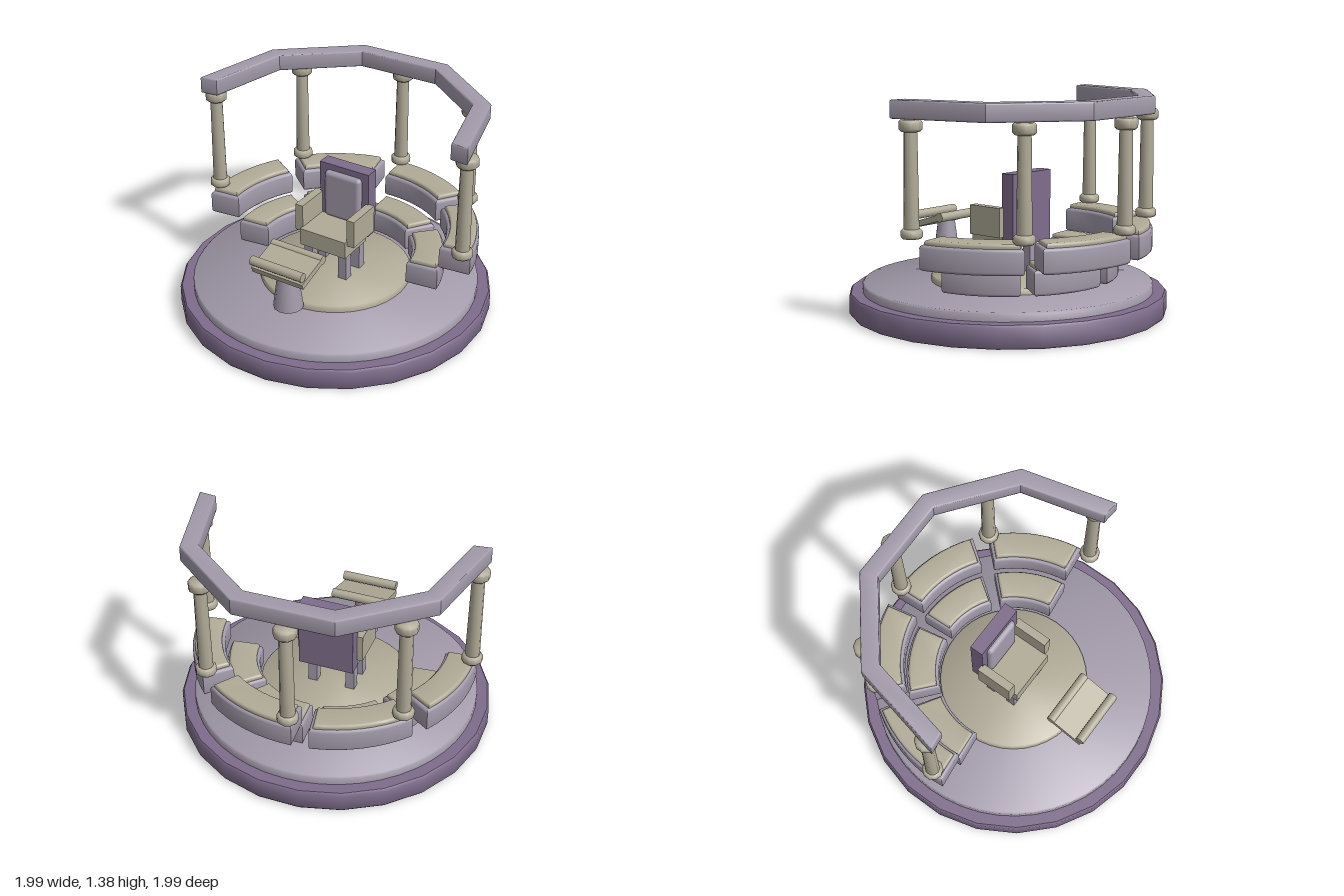
import * as THREE from 'three';
import { toCreasedNormals } from 'three/addons/utils/BufferGeometryUtils.js';
import { RoundedBoxGeometry } from 'three/addons/geometries/RoundedBoxGeometry.js';

const mat = (name, color) => {
  const m = new THREE.MeshStandardMaterial({ color });
  m.name = name;
  return m;
};
const rad = THREE.MathUtils.degToRad;
// point on the floor plan; angle in degrees from +x towards the back
const polar = (r, deg) => new THREE.Vector2(r * Math.cos(rad(deg)), r * Math.sin(rad(deg)));

// plan shape of a curved band between two radii and two angles
function bandShape(r0, r1, a0, a1, steps) {
  const pts = [];
  for (let i = 0; i <= steps; i++) pts.push(polar(r1, a0 + (a1 - a0) * i / steps));
  for (let i = steps; i >= 0; i--) pts.push(polar(r0, a0 + (a1 - a0) * i / steps));
  return new THREE.Shape(pts);
}

// plan shape raised from y0 to y1 with rounded rims
function raise(shape, y0, y1, bevel, crease) {
  const geo = new THREE.ExtrudeGeometry(shape, {
    depth: y1 - y0 - 2 * bevel, bevelEnabled: true, bevelThickness: bevel,
    bevelSize: bevel, bevelOffset: -bevel, bevelSegments: 3,
  });
  geo.rotateX(-Math.PI / 2).translate(0, y0 + bevel, 0);
  return toCreasedNormals(geo, crease);
}

// turned part from a profile of [radius, height] pairs
function turned(profile, sides, crease = 0.9) {
  const pts = profile.map(([r, y]) => new THREE.Vector2(r, y));
  return toCreasedNormals(new THREE.LatheGeometry(pts, sides), crease);
}

export function createModel() {
  const model = new THREE.Group();
  const lilac = mat('lilacGrey', 0xa39bab);
  const purple = mat('dustyPurple', 0x7f6d8c);
  const beige = mat('warmBeige', 0xb1ab98);

  const add = (parent, name, geo, material, x = 0, y = 0, z = 0) => {
    const mesh = new THREE.Mesh(geo, material);
    mesh.name = name;
    mesh.position.set(x, y, z);
    parent.add(mesh);
    return mesh;
  };
  const group = (name) => {
    const g = new THREE.Group();
    g.name = name;
    model.add(g);
    return g;
  };
  const box = (w, h, d) => new THREE.BoxGeometry(w, h, d);

  // stepped round platform
  const base = turned([[0, 0], [0.995, 0], [1.006, 0.015], [1.006, 0.125], [0.995, 0.14], [0, 0.14]], 24);
  add(model, 'base', base.rotateY(rad(7.5)), purple);
  add(model, 'floorDisc', turned([[0, 0.13], [0.92, 0.13], [0.92, 0.185], [0.91, 0.195], [0, 0.195]], 48), lilac);
  add(model, 'centreDisc', turned([[0, 0.19], [0.487, 0.19], [0.487, 0.225], [0.477, 0.235], [0, 0.235]], 40), beige);

  // two tiers of curved benches, four sections each
  const benches = group('benches');
  const tiers = [
    { name: 'lower', r0: 0.49, r1: 0.70, y: 0.23 },
    { name: 'upper', r0: 0.705, r1: 0.91, y: 0.40 },
  ];
  for (const { name, r0, r1, y } of tiers) {
    for (let i = 0; i < 4; i++) {
      const a = 7 + i * 46.67;
      add(benches, `${name}Bench${i + 1}`,
        raise(bandShape(r0, r1, a, a + 40, 8), y, y + 0.155, 0.02, 0.8), lilac);
      add(benches, `${name}Cushion${i + 1}`,
        raise(bandShape(r0 + 0.02, r1 - 0.015, a + 1.5, a + 38.5, 8), y + 0.14, y + 0.182, 0.015, 0.8), beige);
    }
  }

  // columns with rounded feet and capitals
  const columns = group('columns');
  const column = turned([
    [0, 0.58], [0.055, 0.58], [0.066, 0.592], [0.066, 0.622], [0.055, 0.635], [0.046, 0.637],
    [0.040, 1.20], [0.056, 1.20], [0.069, 1.213], [0.069, 1.257], [0.056, 1.27], [0, 1.27],
  ], 10);
  for (let i = 0; i < 5; i++) {
    const p = polar(0.885, 2 + i * 45);
    add(columns, `column${i + 1}`, column, beige, p.x, 0, -p.y);
  }

  // faceted overhead beam
  add(model, 'overheadBeam', raise(bandShape(0.828, 0.942, -5, 187, 5), 1.27, 1.38, 0.01, 0.6), lilac);

  // central chair
  const chair = group('chair');
  add(chair, 'seat', box(0.335, 0.115, 0.255), beige, -0.003, 0.4725, 0.025);
  add(chair, 'backrest', box(0.36, 0.45, 0.09), purple, -0.003, 0.67, -0.15);
  add(chair, 'backCushion', new RoundedBoxGeometry(0.265, 0.325, 0.06, 3, 0.028), lilac, -0.003, 0.692, -0.1);
  for (const side of [-1, 1]) {
    add(chair, side > 0 ? 'leftArmrest' : 'rightArmrest', box(0.055, 0.185, 0.245), beige, side * 0.19 - 0.003, 0.59, 0.005);
    for (const z of [0.09, -0.07]) {
      add(chair, z > 0 ? 'frontLeg' : 'rearLeg', box(0.06, 0.19, 0.06), lilac, side * 0.127 - 0.003, 0.325, z);
    }
  }

  // control console in front of the chair
  const console = group('console');
  add(console, 'pedestal', new THREE.CylinderGeometry(0.057, 0.095, 0.285, 12), lilac, -0.003, 0.3725, 0.54);
  const panel = add(console, 'panel', box(0.37, 0.04, 0.25), beige, -0.003, 0.528, 0.535);
  panel.rotation.x = rad(17);
  const roll = new THREE.CylinderGeometry(0.03, 0.03, 0.37, 12).rotateZ(Math.PI / 2);
  add(console, 'frontRoll', roll, beige, -0.003, 0.556, 0.65);
  add(console, 'rearRoll', roll, beige, -0.003, 0.56, 0.428);

  return model;
}
